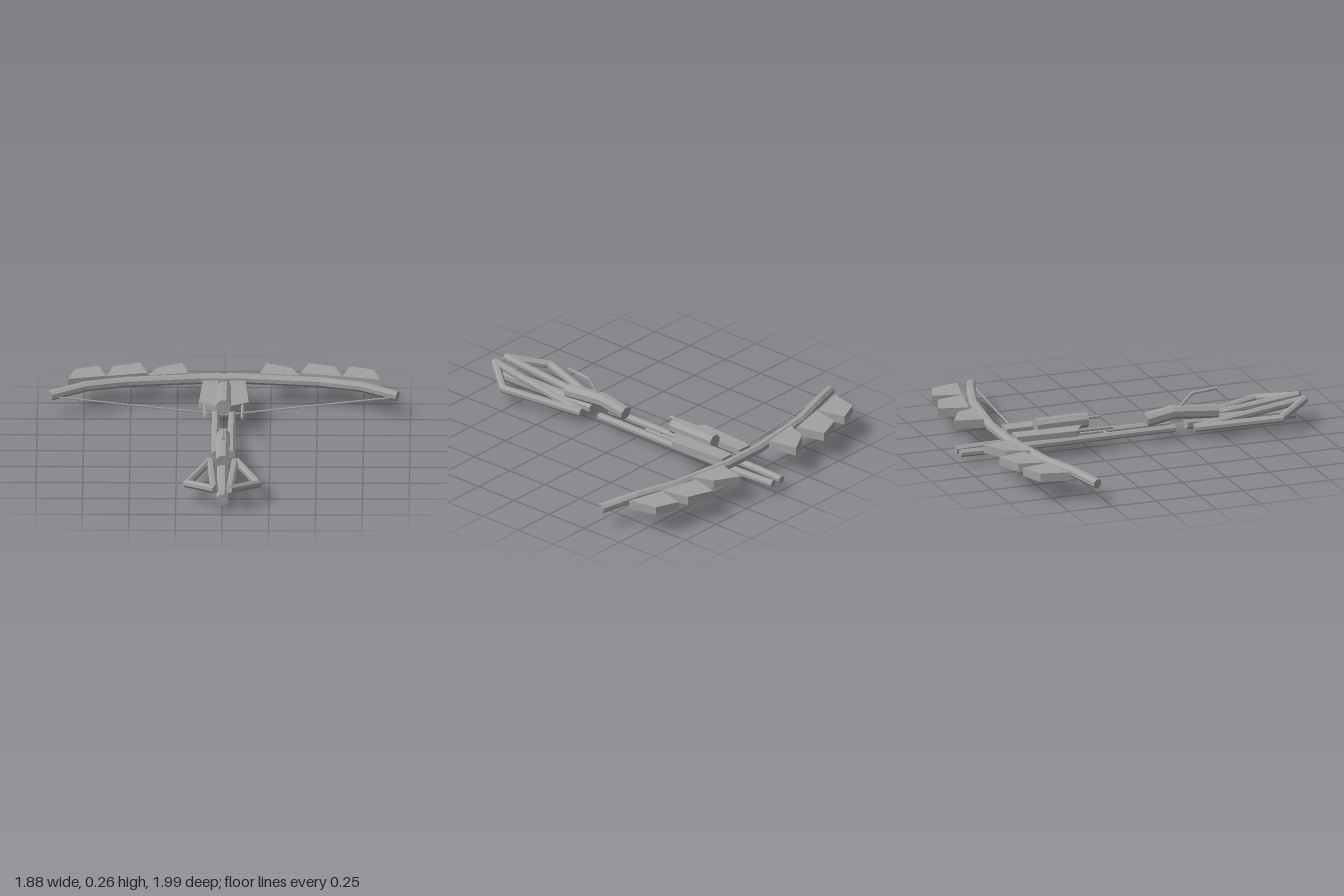
import * as THREE from 'three';

const grey = new THREE.MeshStandardMaterial({ color: 0xa0a0a0 });
grey.name = 'plain grey';

// Faceted tube along a polyline, with mitred corners and capped ends
function tubeGeometry(path, radius, sides = 8) {
  const pts = path.map((p) => new THREE.Vector3(...p));
  const dirs = pts.slice(1).map((p, i) => p.clone().sub(pts[i]).normalize());
  const u = dirs[0].clone().cross(new THREE.Vector3(0, 1, 0)).normalize();
  const v = dirs[0].clone().cross(u);
  let offsets = [];
  for (let j = 0; j < sides; j++) {
    const a = ((j + 0.5) / sides) * Math.PI * 2;
    offsets.push(u.clone().multiplyScalar(Math.cos(a) * radius).addScaledVector(v, Math.sin(a) * radius));
  }
  const rings = pts.map((p, i) => {
    if (i > 0) {
      const d = dirs[i - 1];
      const n = d.clone().add(dirs[i] || d).normalize();
      offsets = offsets.map((o) => o.clone().addScaledVector(d, -o.dot(n) / d.dot(n)));
    }
    return offsets.map((o) => o.clone().add(p));
  });
  const verts = [];
  const tri = (...c) => c.forEach((q) => verts.push(q.x, q.y, q.z));
  const last = rings.length - 1;
  for (let j = 0; j < sides; j++) {
    const k = (j + 1) % sides;
    for (let i = 0; i < last; i++) {
      tri(rings[i][j], rings[i][k], rings[i + 1][k]);
      tri(rings[i][j], rings[i + 1][k], rings[i + 1][j]);
    }
    tri(pts[0], rings[0][k], rings[0][j]);
    tri(pts[last], rings[last][j], rings[last][k]);
  }
  const g = new THREE.BufferGeometry();
  g.setAttribute('position', new THREE.Float32BufferAttribute(verts, 3));
  g.computeVertexNormals();
  return g;
}

// Flat slab from an outline of [x, z] points between two heights
function slabGeometry(outline, y0, y1) {
  const shape = new THREE.Shape(outline.map(([x, z]) => new THREE.Vector2(x, -z)));
  const g = new THREE.ExtrudeGeometry(shape, { depth: y1 - y0, bevelEnabled: false });
  return g.rotateX(-Math.PI / 2).translate(0, y0, 0);
}

export function createModel() {
  const model = new THREE.Group();
  model.name = 'crossbow';
  const add = (name, geometry) => {
    const mesh = new THREE.Mesh(geometry, grey);
    mesh.name = name;
    model.add(mesh);
  };
  const tube = (name, path, r, sides) => add(name, tubeGeometry(path, r, sides));

  // Bow limb, bent back and drooping at the tips
  const half = [[0.13, 0.138, -0.757], [0.52, 0.138, -0.705], [0.74, 0.138, -0.635], [0.93, 0.113, -0.56]];
  const mirrored = half.map(([x, y, z]) => [-x, y, z]).reverse();
  tube('bowLimb', [...mirrored, ...half], 0.028);

  // Bowstring dipping at the middle
  tube('bowstring', [[-0.92, 0.108, -0.555], [0, 0.006, -0.555], [0.92, 0.108, -0.555]], 0.005, 6);

  // Sight barrel, grip body, trigger lever, central stock and rail crossbar
  tube('sightBarrel', [[0, 0.158, -0.26], [0, 0.158, -0.555]], 0.041);
  tube('gripBody', [[0, 0.116, 0.08], [0, 0.142, 0.235], [0, 0.117, 0.49]], 0.039);
  tube('lever', [[0, 0.165, 0.275], [0, 0.235, 0.345], [0, 0.248, 0.49]], 0.009, 6);
  tube('stock', [[0, 0.071, 0.31], [0, 0.062, 0.935]], 0.034);
  tube('crossbar', [[-0.045, 0.066, -0.147], [0.045, 0.066, -0.147]], 0.011, 6);

  const vanes = [
    [[0.405, -0.74], [0.36, -0.86], [0.225, -0.937], [0.19, -0.775]].map(([x, z]) => [x, z]),
    [[0.632, -0.725], [0.595, -0.884], [0.452, -0.937], [0.41, -0.778]],
    [[0.837, -0.677], [0.8, -0.836], [0.672, -0.888], [0.635, -0.73]],
  ];

  for (const s of [1, -1]) {
    const side = s > 0 ? 'left' : 'right';
    const flip = (list) => list.map(([x, ...rest]) => [x * s, ...rest]);

    // Rail, pinched in at the back end
    tube(side + 'Rail', flip([[0.044, 0.066, 0.23], [0.044, 0.066, -0.8], [0.034, 0.066, -1]]), 0.021);

    // Shoulder frame: inner strut and bent outer strut
    tube(side + 'InnerStrut', flip([[0.066, 0.063, 0.335], [0.043, 0.14, 0.975]]), 0.022);
    tube(side + 'OuterStrut', flip([[0.074, 0.063, 0.335], [0.19, 0.1, 0.785], [0.036, 0.138, 0.98]]), 0.022);

    // Side plate beside the barrel, with a thin rod sticking forward
    add(side + 'Plate', slabGeometry(flip([[0.114, -0.705], [0.03, -0.705], [0.03, -0.3], [0.134, -0.365]]), 0.115, 0.147));
    tube(side + 'Rod', flip([[0.1, 0.133, -0.15], [0.1, 0.136, -0.36]]), 0.009, 6);

    // Vanes along the back of the limb
    vanes.forEach((v, i) => add(side + 'Vane' + (i + 1), slabGeometry(flip(v), 0.117, 0.164)));
  }
  return model;
}
